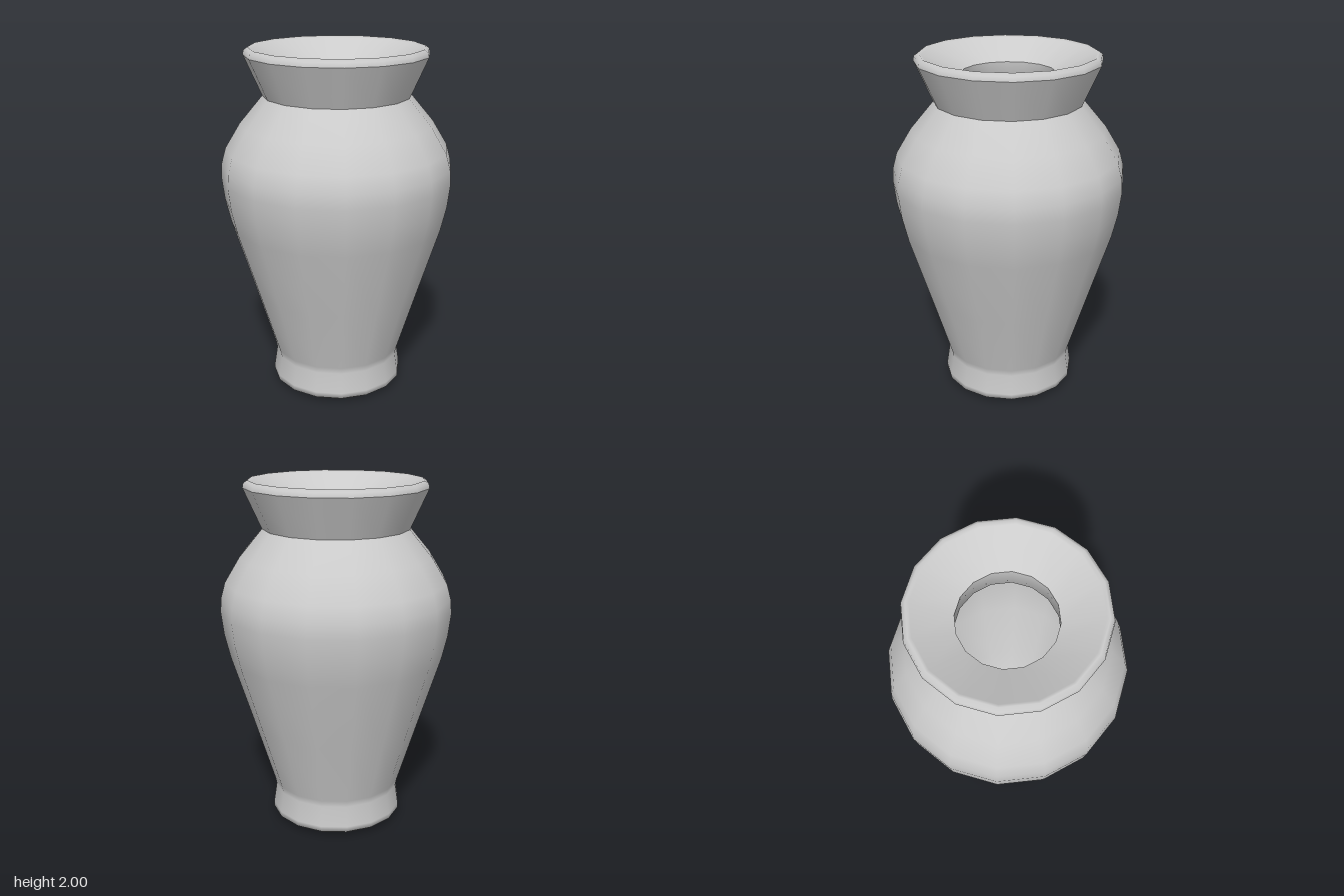
import * as THREE from 'three';

const SIDES = 16;

export function createModel() {
  const vase = new THREE.Group();
  vase.name = 'vase';
  const material = new THREE.MeshStandardMaterial({ color: 0xcccccc });

  // Each part is a smooth lathe; separate parts leave crisp edges between them.
  const addLathe = (name, profile) => {
    const points = profile.map(([r, y]) => new THREE.Vector2(r, y));
    const mesh = new THREE.Mesh(new THREE.LatheGeometry(points, SIDES), material);
    mesh.name = name;
    vase.add(mesh);
  };

  // Flat underside
  addLathe('underside', [[0, 0], [0.34, 0]]);

  // Foot with a bevelled lower edge, running up into the swelling body
  addLathe('body', [
    [0.34, 0], [0.385, 0.03], [0.385, 0.06], [0.367, 0.18], [0.375, 0.22],
    [0.49, 0.6], [0.613, 1.0], [0.645, 1.14], [0.66, 1.27], [0.655, 1.35],
    [0.63, 1.44], [0.545, 1.58], [0.415, 1.735],
  ]);

  // Flared collar
  addLathe('collar', [[0.415, 1.735], [0.515, 1.96]]);

  // Rounded lip and shallow funnel down to the throat
  addLathe('lip', [
    [0.515, 1.96], [0.51, 1.985], [0.488, 2], [0.47, 1.99], [0.26, 1.89],
  ]);

  // Hollow interior with a rounded floor
  addLathe('interior', [
    [0.26, 1.89], [0.27, 1.75], [0.41, 1.55], [0.5, 1.4], [0.52, 1.27],
    [0.48, 1.0], [0.36, 0.6], [0.25, 0.25], [0.16, 0.16], [0, 0.12],
  ]);

  return vase;
}
